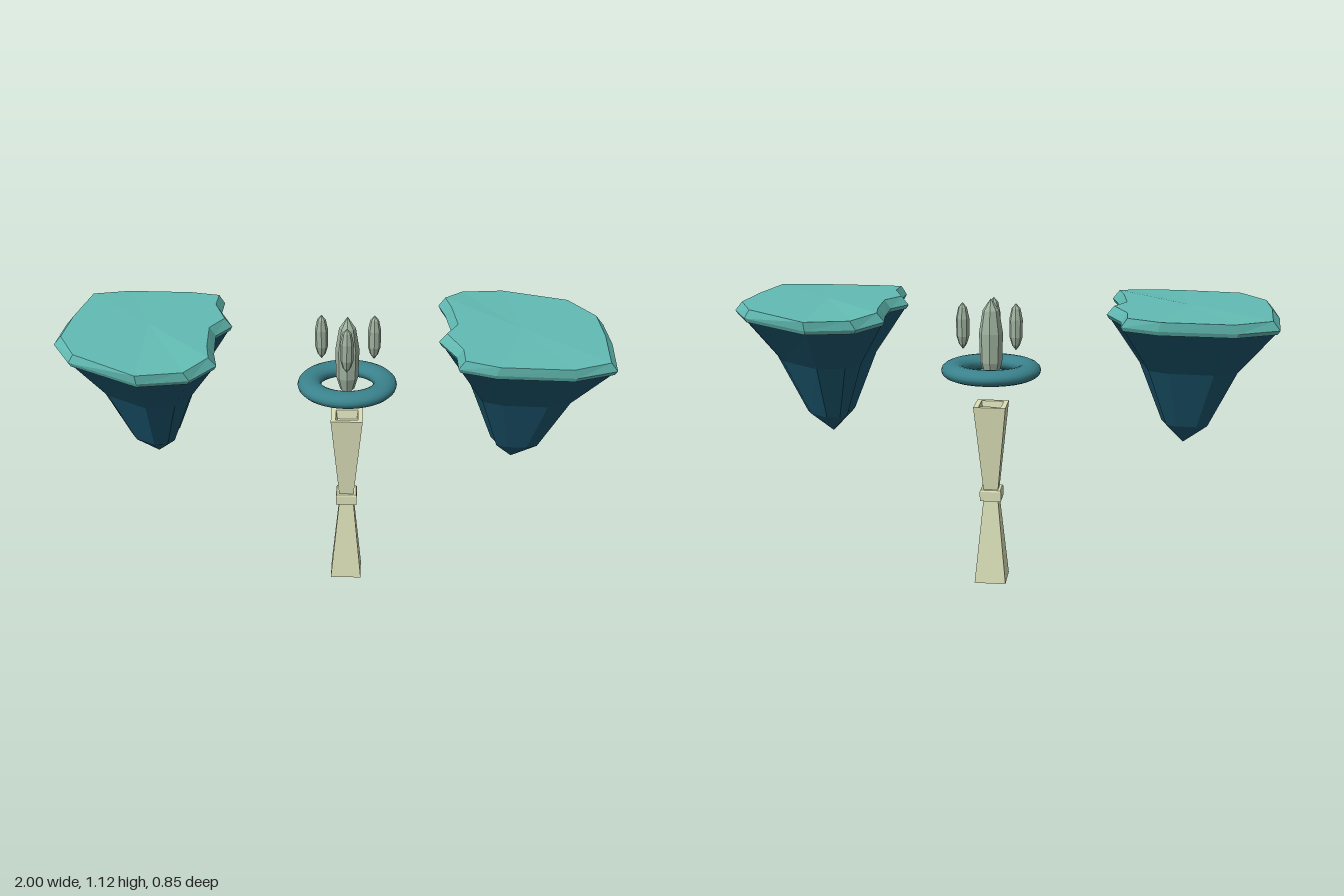
import * as THREE from 'three';

const mat = (color) => new THREE.MeshStandardMaterial({ color, flatShading: true });
const turf = mat(0x62bcb4), rock = mat(0x1c5870), stone = mat(0xdbe0b8);
const crystalMat = mat(0x9fb29f);
const ringMat = new THREE.MeshStandardMaterial({ color: 0x3a828c });

// Island outline around its own centre, [x, z]
const outline = [
  [-0.295, -0.30], [-0.15, -0.35], [0.12, -0.34], [0.245, -0.30],
  [0.245, -0.20], [0.30, -0.06], [0.25, 0.03], [0.265, 0.20], [0.285, 0.30],
  [0.205, 0.40], [0.03, 0.425], [-0.23, 0.29], [-0.32, 0.13], [-0.32, -0.06],
];

function mesh(name, geometry, material) {
  const m = new THREE.Mesh(geometry, material);
  m.name = name;
  return m;
}

// Skin over scaled copies of the outline, listed top to bottom as [scaleX, scaleZ, y]
function loft(rings) {
  const n = outline.length, pos = [];
  const point = ([sx, sz, y], i) => {
    const [x, z] = outline[i % n];
    const droop = sx > 0 ? Math.max(0, Math.abs(z) - 0.3) * 0.12 : 0;
    return [x * sx, y - droop * sz, z * sz];
  };
  for (let r = 0; r < rings.length - 1; r++) {
    for (let i = 0; i < n; i++) {
      const a = point(rings[r], i), b = point(rings[r], i + 1);
      const c = point(rings[r + 1], i), d = point(rings[r + 1], i + 1);
      if (rings[r][0] > 0) pos.push(...a, ...b, ...d);
      if (rings[r + 1][0] > 0) pos.push(...a, ...d, ...c);
    }
  }
  const g = new THREE.BufferGeometry();
  g.setAttribute('position', new THREE.Float32BufferAttribute(pos, 3));
  g.computeVertexNormals();
  return g;
}

// Faceted turned solid; profile runs from bottom to top as [radius, y]
function turned(profile, sides, phase = 0) {
  return new THREE.LatheGeometry(profile.map(([r, y]) => new THREE.Vector2(r, y)), sides, phase);
}

// Square solid; profile gives [width, y]
const square = (profile) => turned(profile.map(([w, y]) => [w / Math.SQRT2, y]), 4, Math.PI / 4);

function island(name) {
  const g = new THREE.Group();
  g.name = name;
  g.add(mesh('grassSlab', loft([
    [0, 0, 1.103], [0.91, 1, 1.103], [1, 0.99, 1.07], [0.97, 0.97, 1.055], [0, 0, 1.055],
  ]), turf));
  g.add(mesh('rockCone', loft([
    [0, 0, 1.054], [0.95, 0.95, 1.054], [0.58, 0.59, 0.89], [0.28, 0.28, 0.665], [0, 0, 0.577],
  ]), rock));
  return g;
}

export function createModel() {
  const model = new THREE.Group();
  model.name = 'floatingIslandsShrine';

  // Two islands, one turned half a circle about the centre
  const right = island('rightIsland');
  right.position.x = -0.68;
  const left = island('leftIsland');
  left.position.x = 0.68;
  left.rotation.y = Math.PI;
  model.add(right, left);

  // Waisted square pillar with a hollow top
  const shrine = new THREE.Group();
  shrine.name = 'shrine';
  shrine.position.set(0.048, 0, -0.048);
  shrine.add(mesh('pillarBase', square([[0, 0], [0.122, 0], [0.056, 0.34]]), stone));
  shrine.add(mesh('pillarBand', square([
    [0, 0.336], [0.082, 0.336], [0.082, 0.374], [0.076, 0.38], [0, 0.38],
  ]), stone));
  shrine.add(mesh('pillarTop', square([
    [0.056, 0.375], [0.122, 0.716], [0.085, 0.716], [0.075, 0.68], [0, 0.68],
  ]), stone));

  // Flattened floating ring
  const torus = new THREE.TorusGeometry(0.143, 0.045, 16, 48);
  torus.rotateX(Math.PI / 2);
  torus.scale(1, 0.66, 1);
  const ring = mesh('floatingRing', torus, ringMat);
  ring.position.y = 0.85;
  shrine.add(ring);

  // Crystals: one large, three small around it
  shrine.add(mesh('largeCrystal', turned([
    [0, 0.80], [0.027, 0.83], [0.042, 0.88], [0.045, 0.99], [0.031, 1.075], [0, 1.12],
  ], 8), crystalMat));
  const smallProfile = [
    [0, 0.935], [0.015, 0.955], [0.024, 0.985], [0.025, 1.05], [0.016, 1.092], [0, 1.11],
  ];
  for (const [x, z] of [[-0.098, 0.042 - 0.084], [0.1, 0.042 - 0.084], [0, 0.088]].map(([x, z]) => [x, z + 0.002])) {
    const c = mesh('smallCrystal', turned(smallProfile, 8), crystalMat);
    c.position.set(x, 0, z);
    shrine.add(c);
  }
  model.add(shrine);
  return model;
}
